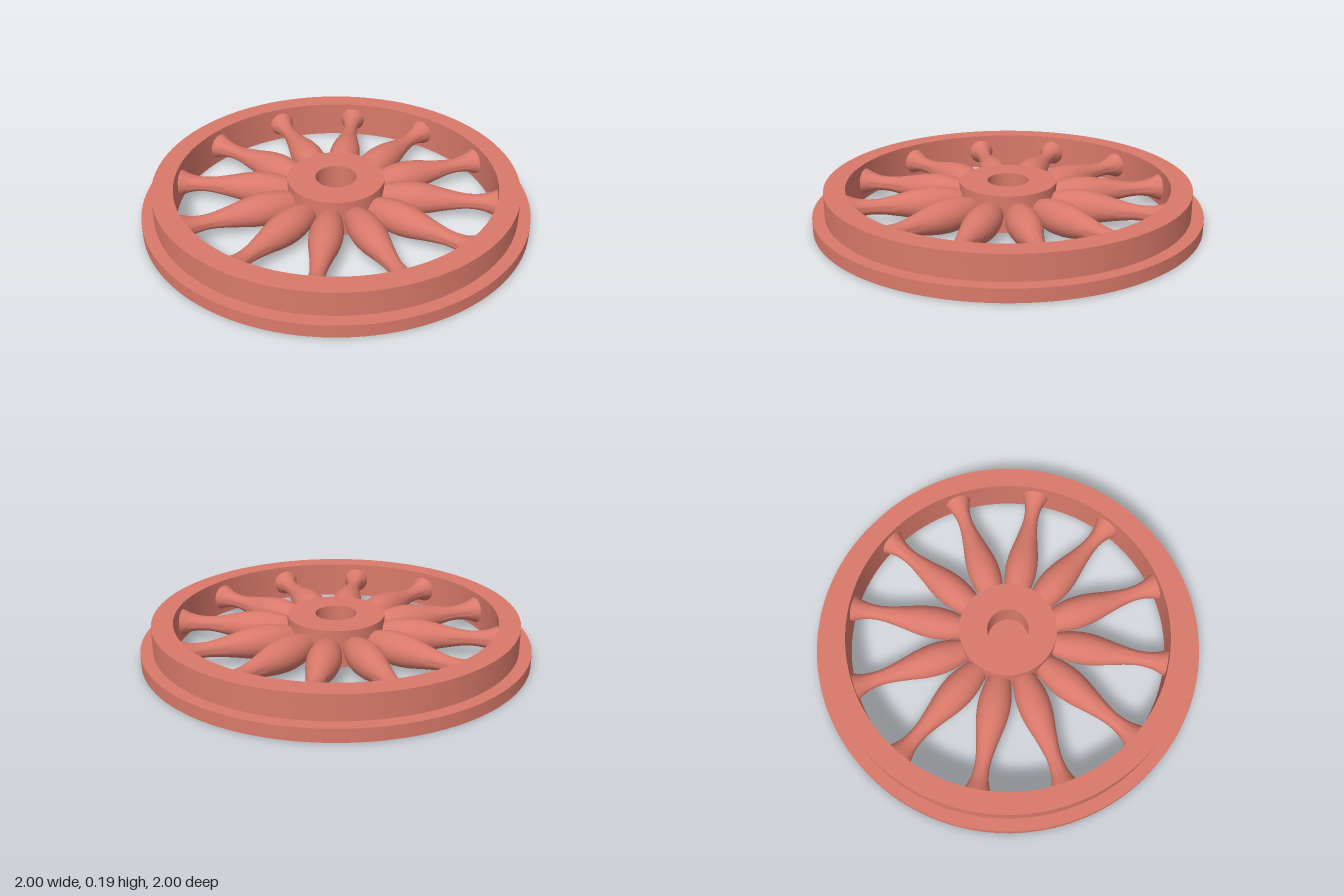
import * as THREE from 'three';
import { toCreasedNormals } from 'three/addons/utils/BufferGeometryUtils.js';

const HEIGHT = 0.195;
const material = new THREE.MeshStandardMaterial({ color: 0xd9796a });

// Sharp-edged turned part from [radius, y] corners
function turned(name, corners) {
  const points = corners.map(([r, y]) => new THREE.Vector2(r, y));
  const geometry = toCreasedNormals(new THREE.LatheGeometry(points, 128), 0.6);
  const mesh = new THREE.Mesh(geometry, material);
  mesh.name = name;
  return mesh;
}

export function createModel() {
  const wheel = new THREE.Group();
  wheel.name = 'wheel';

  // Rim with a wider flange at the bottom
  wheel.add(turned('rim', [
    [0.83, 0], [1, 0], [1, 0.067], [0.938, 0.067],
    [0.938, HEIGHT], [0.83, HEIGHT], [0.83, 0],
  ]));

  // Hub with a blind axle hole open at the top
  wheel.add(turned('hub', [
    [0, 0], [0.25, 0], [0.25, HEIGHT],
    [0.106, HEIGHT], [0.106, 0.05], [0, 0.05],
  ]));

  // Baluster-shaped spokes: [half thickness, distance from the axle]
  const profile = new THREE.SplineCurve([
    [0.04, 0.2], [0.061, 0.25], [0.078, 0.32], [0.084, 0.39], [0.077, 0.47],
    [0.058, 0.56], [0.042, 0.65], [0.039, 0.71], [0.047, 0.77], [0.069, 0.828],
  ].map(([r, d]) => new THREE.Vector2(r, d))).getPoints(40);
  profile.push(new THREE.Vector2(0, 0.828));
  const spokeGeometry = toCreasedNormals(new THREE.LatheGeometry(profile, 32), 0.7);
  spokeGeometry.rotateZ(-Math.PI / 2);

  const spokes = new THREE.Group();
  spokes.name = 'spokes';
  for (let i = 0; i < 12; i++) {
    const spoke = new THREE.Mesh(spokeGeometry, material);
    spoke.name = `spoke${i + 1}`;
    spoke.position.y = HEIGHT / 2;
    spoke.rotation.y = (i * Math.PI) / 6;
    spokes.add(spoke);
  }
  wheel.add(spokes);

  return wheel;
}
